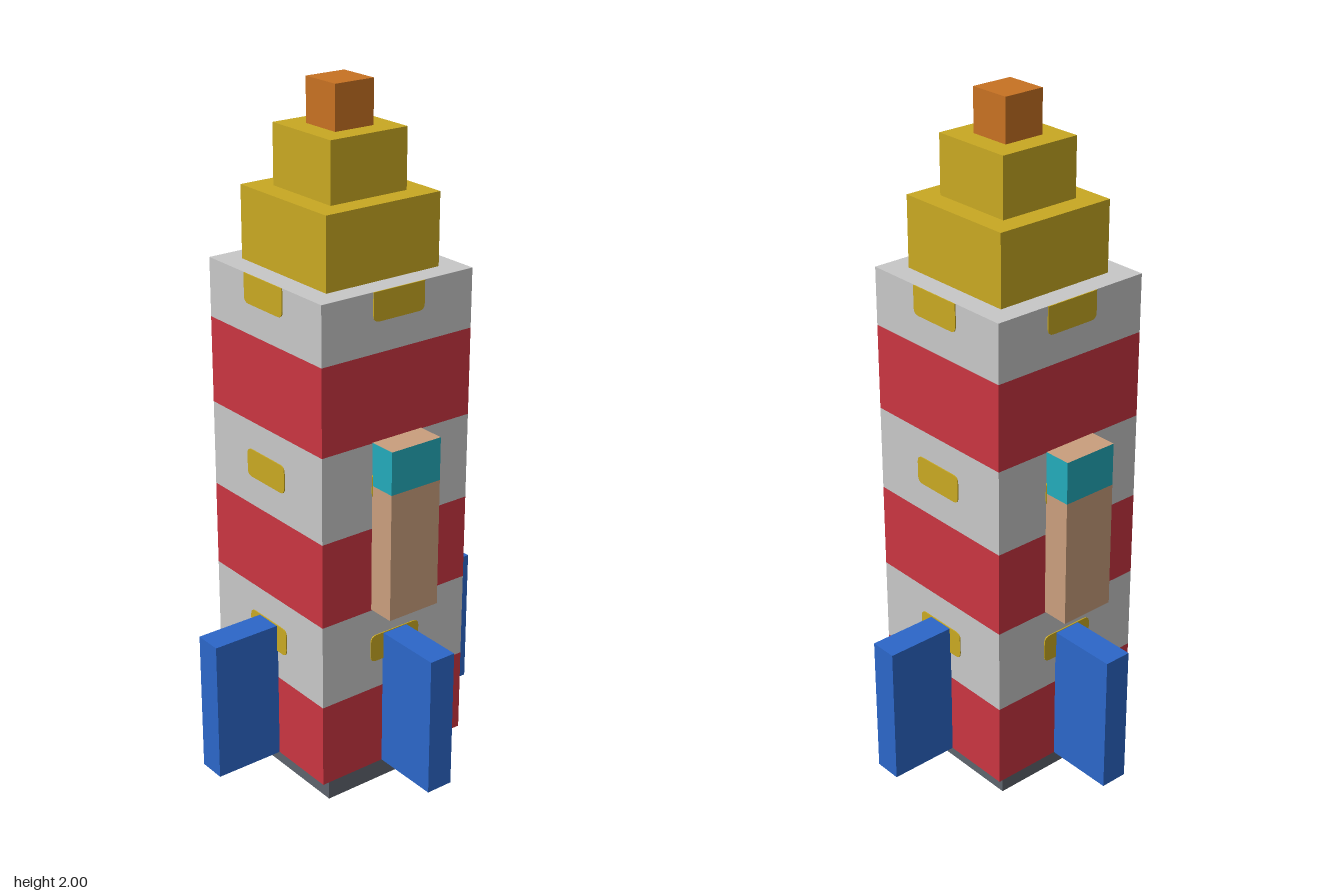
import * as THREE from 'three';

const mat = (name, color) => {
  const m = new THREE.MeshStandardMaterial({ color });
  m.name = name;
  return m;
};

// Box spanning y0..y1, centred on (x, z)
function box(name, material, w, d, y0, y1, x = 0, z = 0) {
  const mesh = new THREE.Mesh(new THREE.BoxGeometry(w, y1 - y0, d), material);
  mesh.position.set(x, (y0 + y1) / 2, z);
  mesh.name = name;
  return mesh;
}

// Thin window plate; the lower corners are always rounded, the upper ones by choice
function windowGeometry(roundTop) {
  const w = 0.083, h = 0.04, r = 0.018, t = roundTop ? r : 0;
  const s = new THREE.Shape();
  s.moveTo(-w + r, -h);
  s.lineTo(w - r, -h);
  s.quadraticCurveTo(w, -h, w, -h + r);
  s.lineTo(w, h - t);
  s.quadraticCurveTo(w, h, w - t, h);
  s.lineTo(-w + t, h);
  s.quadraticCurveTo(-w, h, -w, h - t);
  s.lineTo(-w, -h + r);
  s.quadraticCurveTo(-w, -h, -w + r, -h);
  return new THREE.ExtrudeGeometry(s, { depth: 0.003, bevelEnabled: false, curveSegments: 4 });
}

export function createModel() {
  const white = mat('hull white', 0xc8c8c8);
  const red = mat('hull red', 0xca3541);
  const gold = mat('gold', 0xc9a922);
  const orange = mat('tip orange', 0xc87222);
  const blue = mat('fin blue', 0x2c67c9);
  const tan = mat('pod tan', 0xca9f7d);
  const teal = mat('pod teal', 0x23abbb);
  const dark = mat('engine grey', 0x5e646d);

  const model = new THREE.Group();
  model.name = 'rocket';
  const half = 0.245;

  model.add(box('engine', dark, 0.326, 0.326, 0, 0.125));

  // Striped hull
  const levels = [0.125, 0.37, 0.615, 0.86, 1.105, 1.35, 1.515];
  for (let i = 0; i < levels.length - 1; i++) {
    model.add(box('hullBand', i % 2 ? white : red, half * 2, half * 2, levels[i], levels[i + 1]));
  }

  // Stepped nose
  model.add(box('noseLower', gold, 0.366, 0.366, 1.515, 1.715));
  model.add(box('noseUpper', gold, 0.244, 0.244, 1.715, 1.88));
  model.add(box('noseTip', orange, 0.122, 0.122, 1.88, 2));

  // Fins and windows on all four sides
  const rounded = windowGeometry(true), squareTop = windowGeometry(false);
  for (let i = 0; i < 4; i++) {
    const side = new THREE.Group();
    side.name = 'hullSide';
    side.rotation.y = (i * Math.PI) / 2;
    side.add(box('fin', blue, 0.08, 0.203, 0.125, 0.533, 0, half + 0.1015));
    [0.495, 0.985, 1.475].forEach((y, k) => {
      const pane = new THREE.Mesh(k === 2 ? squareTop : rounded, gold);
      pane.name = 'window';
      pane.position.set(0, y, half);
      side.add(pane);
    });
    model.add(side);
  }

  // Side pods: tan body, teal band round the top, tan cap
  for (const s of [1, -1]) {
    const pod = new THREE.Group();
    pod.name = s > 0 ? 'leftPod' : 'rightPod';
    const x = s * (half + 0.04);
    pod.add(box('podBody', tan, 0.08, 0.163, 0.618, 0.985, x));
    pod.add(box('podBand', [teal, teal, tan, tan, teal, teal], 0.08, 0.163, 0.985, 1.107, x));
    model.add(pod);
  }
  return model;
}
